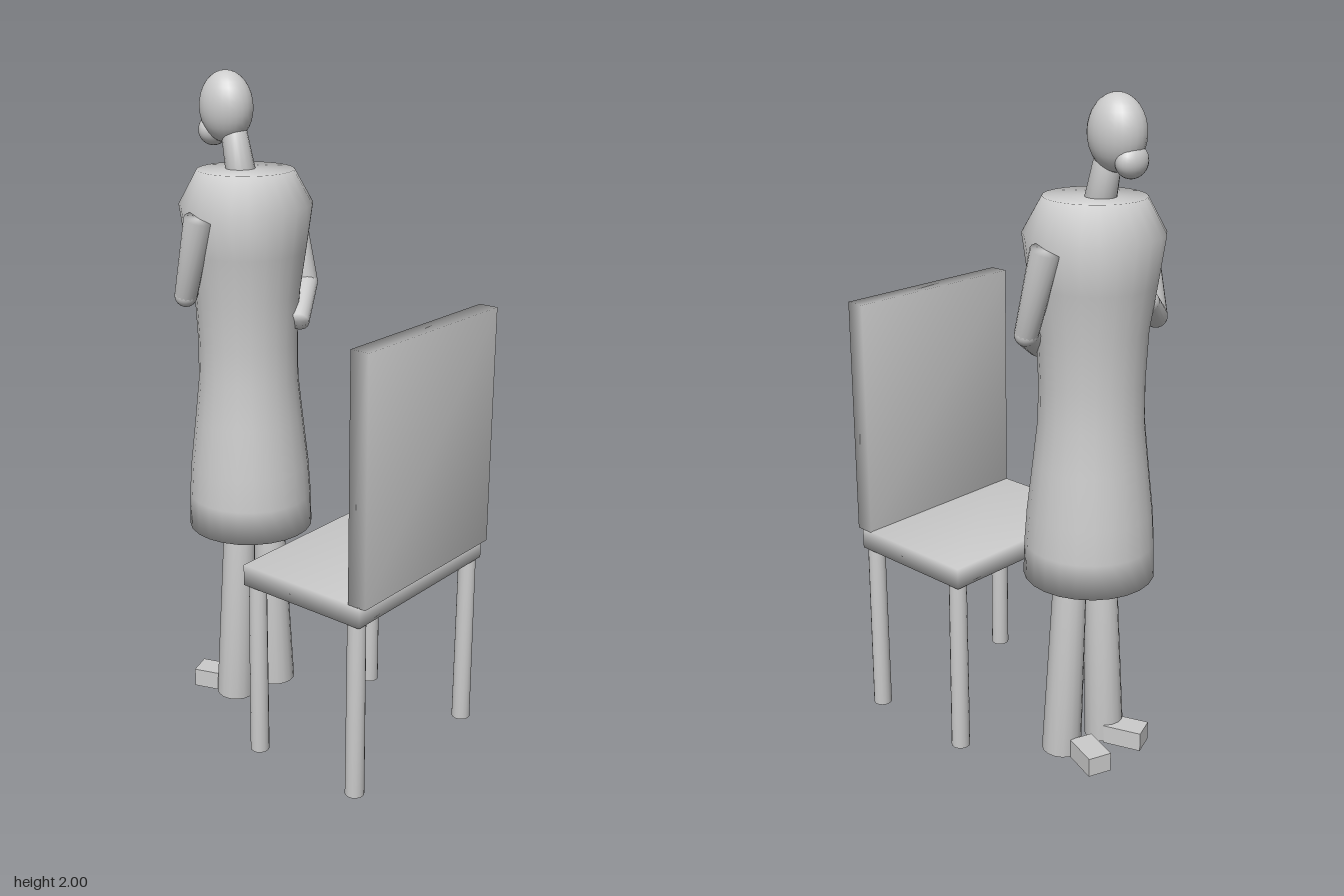
import * as THREE from 'three';
import { mergeVertices } from 'three/addons/utils/BufferGeometryUtils.js';

const grey = new THREE.MeshStandardMaterial({ color: 0xcccccc });
const V = (x, y, z) => new THREE.Vector3(x, y, z);

// Welds the corners so that shading runs smoothly over every edge
function soften(geometry) {
  geometry.deleteAttribute('normal');
  geometry.deleteAttribute('uv');
  const welded = mergeVertices(geometry, 1e-4);
  welded.computeVertexNormals();
  return welded;
}

function add(parent, name, geometry, position) {
  const mesh = new THREE.Mesh(geometry, grey);
  mesh.name = name;
  mesh.position.copy(position);
  parent.add(mesh);
  return mesh;
}

// Tapered round limb between two points
function limb(parent, name, from, to, rFrom, rTo) {
  const axis = to.clone().sub(from);
  const geometry = soften(new THREE.CylinderGeometry(rTo, rFrom, axis.length(), 16));
  const mesh = add(parent, name, geometry, from.clone().add(to).multiplyScalar(0.5));
  mesh.quaternion.setFromUnitVectors(V(0, 1, 0), axis.normalize());
  return mesh;
}

function ellipsoid(parent, name, center, rx, ry, rz) {
  add(parent, name, new THREE.SphereGeometry(1, 24, 16), center).scale.set(rx, ry, rz);
}

function makeChair() {
  const chair = new THREE.Group();
  chair.name = 'chair';
  add(chair, 'seat', soften(new THREE.BoxGeometry(0.61, 0.065, 0.43)), V(0, 0.59, 0.215));
  add(chair, 'chairBack', soften(new THREE.BoxGeometry(0.61, 0.735, 0.06)), V(0, 0.9875, 0.42));
  for (const x of [-0.277, 0.277]) {
    for (const z of [0.03, 0.4]) limb(chair, 'chairLeg', V(x, 0, z), V(x, 0.565, z), 0.029, 0.027);
  }
  return chair;
}

function makeFigure() {
  const figure = new THREE.Group();
  figure.name = 'standingFigure';

  // Long dress, closed at the shoulders and hem
  const profile = [
    [0, 0.595], [0.195, 0.595], [0.192, 0.7], [0.185, 0.8], [0.168, 0.95], [0.154, 1.08],
    [0.153, 1.2], [0.16, 1.35], [0.18, 1.48], [0.2, 1.62], [0.145, 1.72], [0, 1.72],
  ].map(([r, y]) => new THREE.Vector2(r, y));
  add(figure, 'dress', soften(new THREE.LatheGeometry(profile, 24)), V(0, 0, -0.247));

  // Neck, head and hair bun
  limb(figure, 'neck', V(0, 1.69, -0.262), V(0, 1.83, -0.292), 0.046, 0.038);
  ellipsoid(figure, 'head', V(0, 1.895, -0.32), 0.072, 0.105, 0.087);
  ellipsoid(figure, 'hairBun', V(0, 1.825, -0.372), 0.053, 0.047, 0.04);

  // Arms: shoulder, elbow and wrist of each
  const arms = {
    left: [V(0.2, 1.6, -0.25), V(0.195, 1.355, -0.175), V(0.05, 1.272, -0.085)],
    right: [V(-0.2, 1.6, -0.25), V(-0.185, 1.36, -0.325), V(-0.085, 1.43, -0.375)],
  };
  for (const [side, [shoulder, elbow, wrist]] of Object.entries(arms)) {
    limb(figure, side + 'UpperArm', shoulder, elbow, 0.043, 0.034);
    limb(figure, side + 'Forearm', elbow, wrist, 0.034, 0.031);
    ellipsoid(figure, side + 'Elbow', elbow, 0.034, 0.034, 0.034);
  }

  // Legs widening to the hem, with feet turned outwards
  for (const s of [1, -1]) {
    const side = s > 0 ? 'left' : 'right';
    const ankle = V(s * 0.078, 0.005, s > 0 ? -0.215 : -0.255);
    limb(figure, side + 'Leg', ankle, V(s * 0.066, 0.64, -0.234), 0.061, 0.049);
    const foot = add(figure, side + 'Foot', new THREE.BoxGeometry(0.075, 0.06, 0.12), V(s * 0.085, 0.033, -0.338));
    foot.rotation.y = -s * 0.35;
  }
  return figure;
}

export function createModel() {
  const model = new THREE.Group();
  model.name = 'figureBehindChair';
  model.add(makeChair(), makeFigure());
  return model;
}
